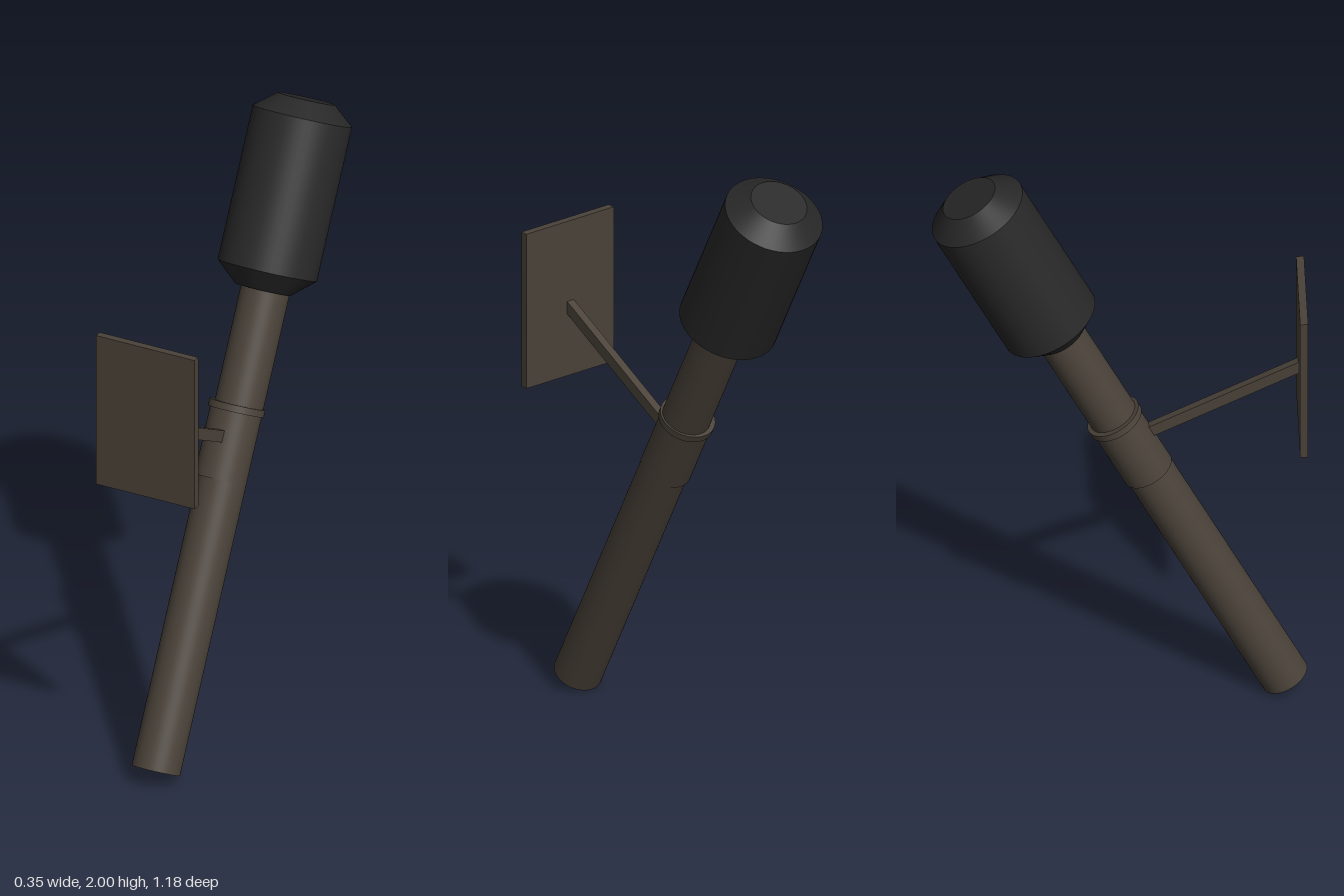
import * as THREE from 'three';

const TILT = -0.477; // lean of the pole towards the back

export function createModel() {
  const bronze = new THREE.MeshStandardMaterial({ color: 0x4a4239 });
  bronze.name = 'dark bronze';
  const black = new THREE.MeshStandardMaterial({ color: 0x282828 });
  black.name = 'soft black';

  const model = new THREE.Group();
  model.name = 'tiltedPoleWithPlate';

  // Everything aligned to the leaning pole lives in this group, y along the pole
  const pole = new THREE.Group();
  pole.name = 'poleAssembly';
  pole.position.set(0, 0.04, 0.52);
  pole.rotation.x = TILT;
  model.add(pole);

  // Round part between two heights along the pole
  function round(name, rBottom, rTop, y0, y1, material, x = 0, open = false) {
    const geometry = new THREE.CylinderGeometry(rTop, rBottom, y1 - y0, 48, 1, open);
    const mesh = new THREE.Mesh(geometry, material);
    mesh.name = name;
    mesh.position.set(x, (y0 + y1) / 2, 0);
    pole.add(mesh);
  }

  round('shaft', 0.078, 0.078, 0, 1.6, bronze);
  round('sleeve', 0.083, 0.083, 0.937, 1.16, bronze, -0.006);
  round('sleeveCollar', 0.09, 0.09, 1.155, 1.178, bronze, -0.006);

  // Head: a cylinder with a chamfer at each end
  round('headLowerChamfer', 0.09, 0.16, 1.547, 1.609, black, -0.008);
  round('headBody', 0.16, 0.16, 1.609, 2.105, black, -0.008, true);
  round('headUpperChamfer', 0.16, 0.092, 2.105, 2.161, black, -0.008);

  // Arm square to the pole, reaching the plate
  const arm = new THREE.Mesh(new THREE.BoxGeometry(0.027, 0.038, 0.56), bronze);
  arm.name = 'arm';
  arm.position.set(-0.004, 1.073, 0.33);
  pole.add(arm);

  // Upright plate at the front
  const plate = new THREE.Mesh(new THREE.BoxGeometry(0.353, 0.525, 0.025), bronze);
  plate.name = 'plate';
  plate.position.set(-0.002, 1.3, 0.573);
  model.add(plate);

  return model;
}
